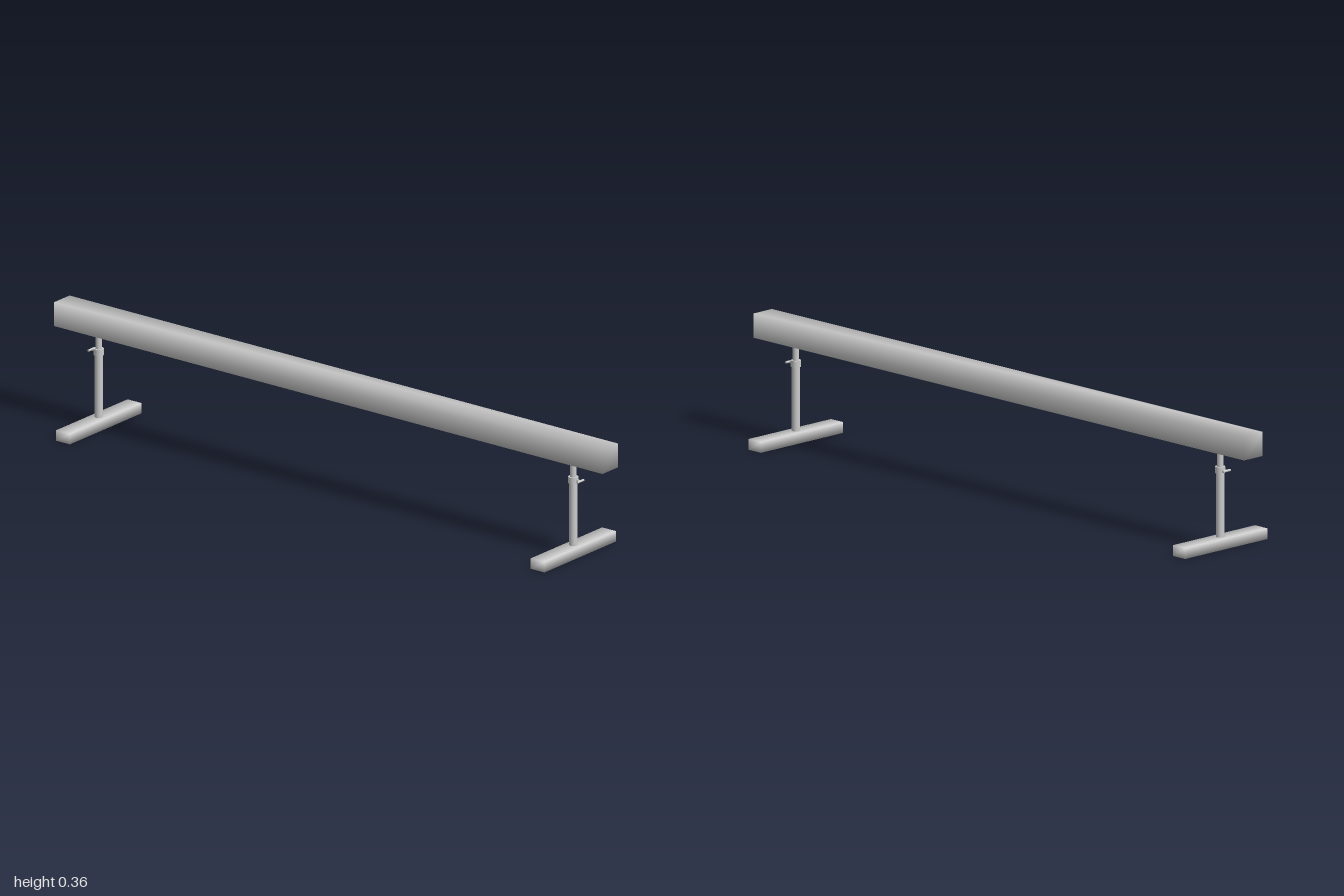
import * as THREE from 'three';
import { mergeVertices } from 'three/addons/utils/BufferGeometryUtils.js';

const material = new THREE.MeshStandardMaterial({ color: 0xcccccc });

function add(parent, name, geometry, x, y, z) {
  const mesh = new THREE.Mesh(geometry, material);
  mesh.name = name;
  mesh.position.set(x, y, z);
  parent.add(mesh);
  return mesh;
}

// Box whose corners share normals, for soft shading across the edges
function softBox(w, h, d) {
  let g = new THREE.BoxGeometry(w, h, d);
  g.deleteAttribute('normal');
  g.deleteAttribute('uv');
  g = mergeVertices(g);
  g.computeVertexNormals();
  return g;
}

// Upright cylinder between two heights
function tube(parent, name, radius, y0, y1) {
  return add(parent, name, new THREE.CylinderGeometry(radius, radius, y1 - y0, 24), 0, (y0 + y1) / 2, 0);
}

// One support; side is +1 or -1, the clamp screw points outward
function createStand(side) {
  const stand = new THREE.Group();
  add(stand, 'foot', softBox(0.05, 0.032, 0.33), 0, 0.016, 0);
  tube(stand, 'lowerPost', 0.012, 0.03, 0.226);
  tube(stand, 'collar', 0.0148, 0.221, 0.24);
  tube(stand, 'upperPost', 0.0095, 0.226, 0.285);
  tube(stand, 'mountingPlate', 0.018, 0.283, 0.289);

  // Clamp screw with a small cross handle
  const screw = add(stand, 'clampScrew', new THREE.CylinderGeometry(0.0035, 0.0035, 0.016, 12), side * 0.019, 0.231, 0);
  screw.rotation.z = Math.PI / 2;
  const handle = add(stand, 'clampHandle', new THREE.CylinderGeometry(0.0035, 0.0035, 0.029, 12), side * 0.026, 0.231, 0);
  handle.rotation.x = Math.PI / 2;
  return stand;
}

export function createModel() {
  const model = new THREE.Group();
  model.name = 'balanceBeam';
  add(model, 'beam', softBox(2, 0.072, 0.073), 0, 0.324, 0);
  for (const side of [-1, 1]) {
    const stand = createStand(side);
    stand.name = side > 0 ? 'leftStand' : 'rightStand';
    stand.position.x = side * 0.865;
    model.add(stand);
  }
  return model;
}
